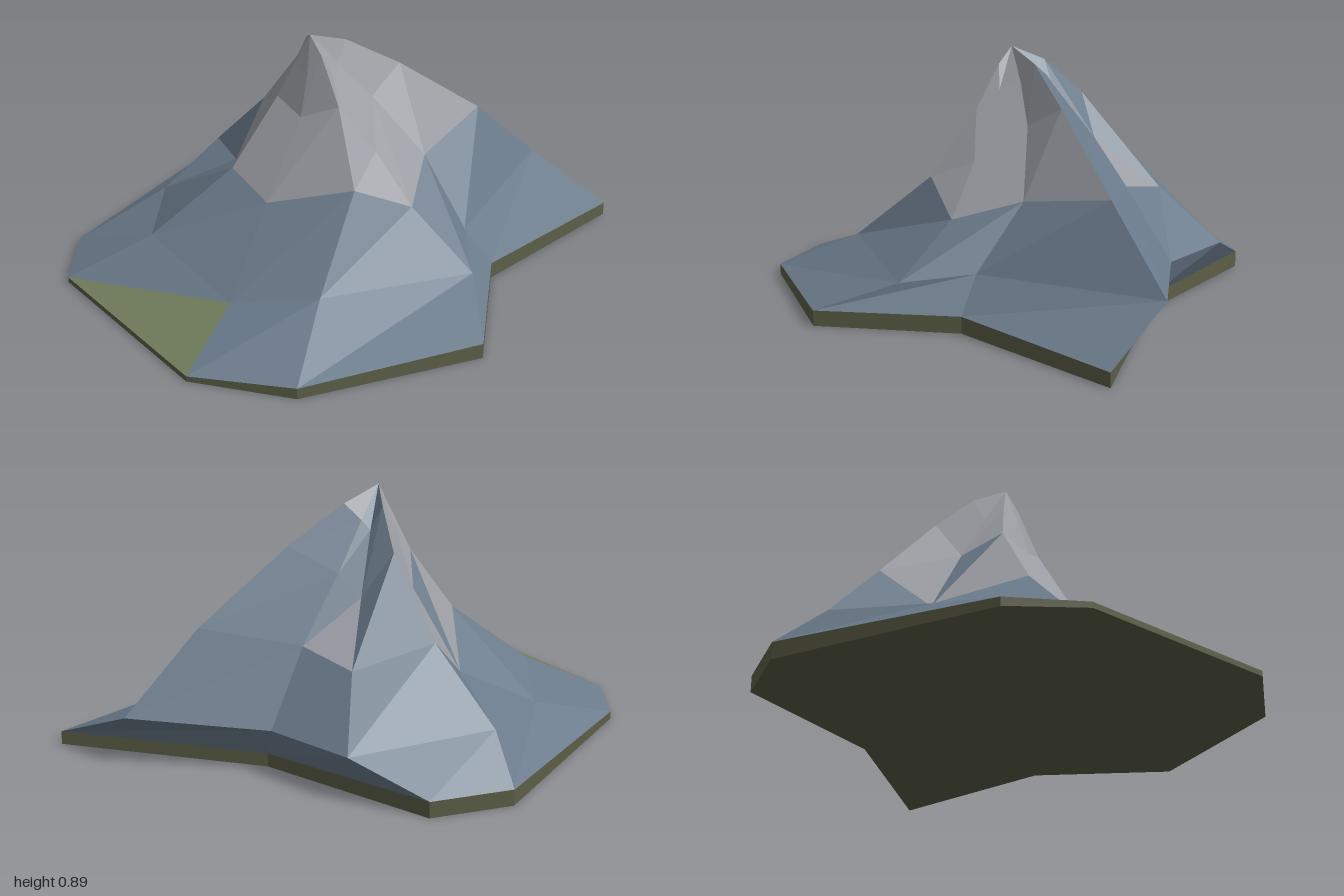
import * as THREE from 'three';

// Ten spurs run from the rim up to the summit; each lists points
// [x, y, z] as rim, foot, shoulder, crag, crown.
const peak = [-0.15, 0.89, 0.01];
const spurs = [
  [[-1, 0.02, -0.29], [-0.71, 0.165, -0.18], [-0.42, 0.4, -0.09], [-0.24, 0.65, -0.07], [-0.19, 0.78, -0.03]],
  [[-0.9, 0.02, 0.49], [-0.64, 0.11, 0.3], [-0.39, 0.34, 0.11], [-0.22, 0.61, 0.06], [-0.18, 0.76, 0.04]],
  [[-0.64, 0.04, 0.76], [-0.42, 0.18, 0.53], [-0.17, 0.43, 0.34], [-0.13, 0.67, 0.17], [-0.14, 0.83, 0.07]],
  [[0, 0.055, 0.88], [0.14, 0.15, 0.62], [0.05, 0.32, 0.37], [-0.02, 0.5, 0.24], [-0.1, 0.74, 0.09]],
  [[0.33, 0.06, 0.48], [0.27, 0.18, 0.39], [0.23, 0.4, 0.18], [0.07, 0.63, 0.07], [-0.05, 0.77, 0.03]],
  [[1, 0.05, 0.32], [0.87, 0.19, 0.02], [0.57, 0.46, 0.04], [0.22, 0.71, 0.02], [0, 0.84, 0]],
  [[0.44, 0.05, -0.22], [0.46, 0.17, -0.29], [0.29, 0.42, -0.21], [0.1, 0.63, -0.13], [-0.03, 0.79, -0.07]],
  [[0.16, 0.06, -0.82], [0.34, 0.17, -0.6], [0.21, 0.38, -0.41], [0.06, 0.56, -0.22], [-0.05, 0.76, -0.1]],
  [[-0.13, 0.06, -0.89], [-0.17, 0.2, -0.72], [-0.08, 0.45, -0.48], [-0.06, 0.71, -0.24], [-0.1, 0.84, -0.1]],
  [[-0.86, 0.03, -0.52], [-0.5, 0.15, -0.52], [-0.26, 0.27, -0.38], [-0.17, 0.55, -0.2], [-0.16, 0.74, -0.09]],
];

export function createModel() {
  const group = new THREE.Group();
  group.name = 'mountain';
  const faces = { slope: [], rock: [], grass: [], earth: [] };
  const tri = (kind, a, b, c) => faces[kind].push(...a, ...b, ...c);
  const ground = (p) => [p[0], 0, p[2]];
  const n = spurs.length;

  // Rock covers the upper front and left; slope covers the right-hand back.
  function kindOf(sector, ring, half) {
    if (ring === 0) return sector === 0 && half === 0 ? 'grass' : 'slope';
    if (ring === 1) return 'slope';
    if (sector === 6) return ring === 2 && half === 0 ? 'rock' : 'slope';
    if (sector === 5 || sector === 7) return 'slope';
    if (sector === 9 && ring === 2 && half === 1) return 'slope';
    return 'rock';
  }

  for (let i = 0; i < n; i++) {
    const s = spurs[i];
    const t = spurs[(i + 1) % n];
    // Mountain flank between two neighbouring spurs
    for (let r = 0; r < 4; r++) {
      tri(kindOf(i, r, 0), s[r], t[r], t[r + 1]);
      tri(kindOf(i, r, 1), s[r], t[r + 1], s[r + 1]);
    }
    // Summit cap
    tri(i === 6 || i === 7 ? 'slope' : 'rock', s[4], t[4], peak);
    // Base wall
    tri('earth', ground(s[0]), ground(t[0]), t[0]);
    tri('earth', ground(s[0]), t[0], s[0]);
  }

  // Underside
  const outline = spurs.map((s) => new THREE.Vector2(s[0][0], s[0][2]));
  for (const ids of THREE.ShapeUtils.triangulateShape(outline, [])) {
    let [a, b, c] = ids.map((k) => ground(spurs[k][0]));
    const up = (b[2] - a[2]) * (c[0] - a[0]) - (b[0] - a[0]) * (c[2] - a[2]);
    if (up > 0) [b, c] = [c, b];
    tri('earth', a, b, c);
  }

  const parts = [
    ['slope', 'mountainSlopes', 'slateBlue', 0x6b7b8b],
    ['rock', 'rockySummit', 'paleRock', 0x9c9ea5],
    ['grass', 'grassPatch', 'mossGreen', 0x727e5c],
    ['earth', 'earthBase', 'darkOlive', 0x5c5f47],
  ];
  for (const [kind, name, colourName, color] of parts) {
    const geometry = new THREE.BufferGeometry();
    geometry.setAttribute('position', new THREE.Float32BufferAttribute(faces[kind], 3));
    geometry.computeVertexNormals(); // unshared corners give flat facets
    const material = new THREE.MeshStandardMaterial({ color });
    material.name = colourName;
    const mesh = new THREE.Mesh(geometry, material);
    mesh.name = name;
    group.add(mesh);
  }
  return group;
}
